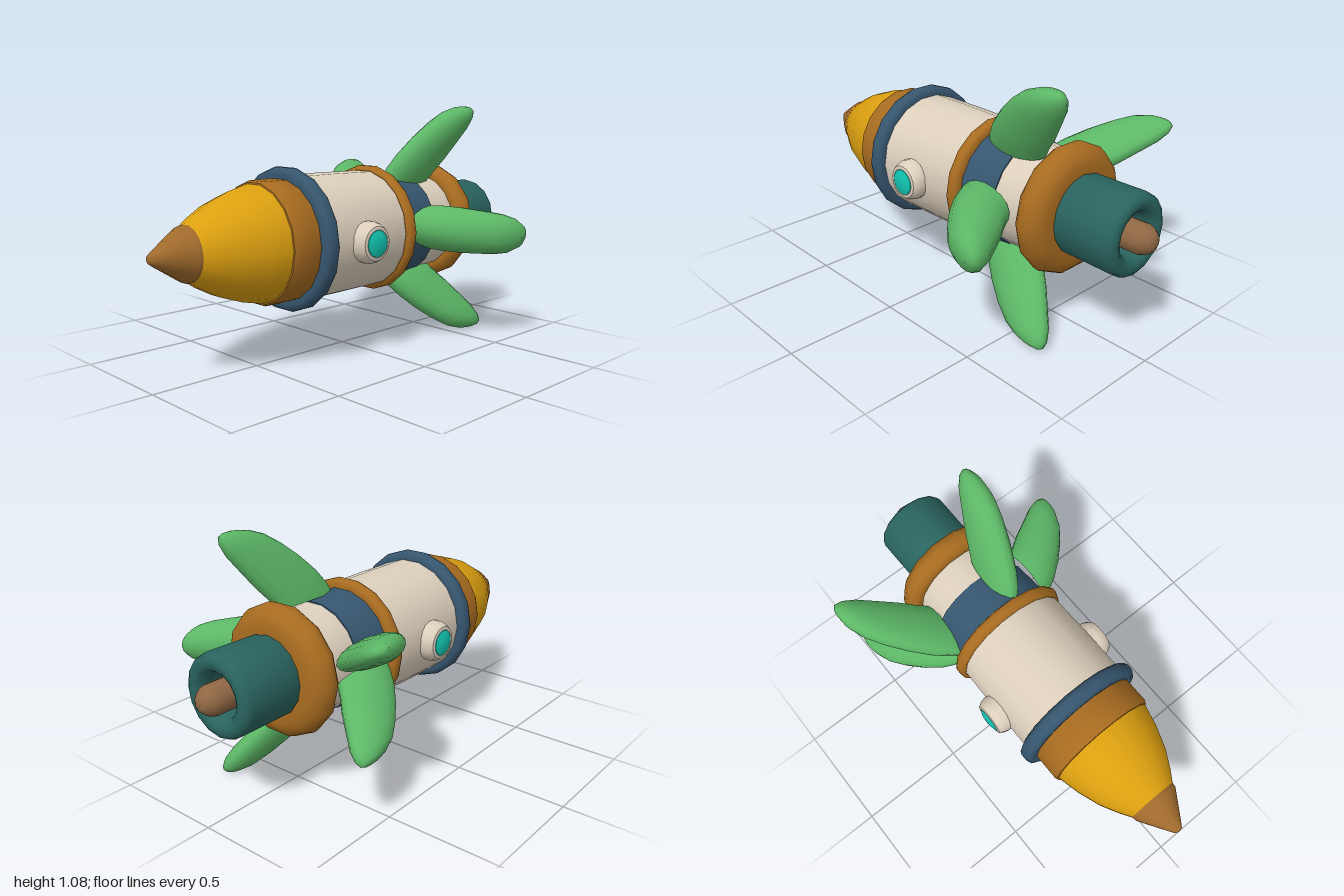
import * as THREE from 'three';
import { toCreasedNormals } from 'three/addons/utils/BufferGeometryUtils.js';

const AXIS_Y = 0.515;

function mat(name, color) {
  const m = new THREE.MeshStandardMaterial({ color });
  m.name = name;
  return m;
}

// Solid of revolution about the x axis from [x, radius] pairs
function turned(profile, segments = 18) {
  const pts = profile.map(([x, r]) => new THREE.Vector2(r, x));
  const g = new THREE.LatheGeometry(pts, segments);
  g.rotateZ(-Math.PI / 2);
  return toCreasedNormals(g, 0.75);
}

// Swept fin blade: fraction along span, leading x, trailing x, half thickness
const FIN_SECTIONS = [
  [0.00, 0.19, 0.50, 0.060],
  [0.14, 0.21, 0.53, 0.066],
  [0.32, 0.25, 0.58, 0.067],
  [0.54, 0.32, 0.63, 0.065],
  [0.74, 0.40, 0.675, 0.061],
  [0.88, 0.47, 0.692, 0.052],
  [0.96, 0.54, 0.688, 0.036],
  [0.99, 0.59, 0.670, 0.018],
  [1.00, 0.63, 0.632, 0.001],
];

// root and tip are [z, y]; sweep scales the blade along x
function finGeometry(root, tip, sweep, thick) {
  const around = 16;
  const dz = tip[0] - root[0], dy = tip[1] - root[1];
  const len = Math.hypot(dz, dy);
  const pos = [], index = [];
  for (const [t, lead, trail, half] of FIN_SECTIONS) {
    const c = (lead + trail) / 2, h = (trail - lead) / 2;
    for (let j = 0; j < around; j++) {
      const a = (j / around) * Math.PI * 2;
      const x = 0.2 + (c + h * Math.cos(a) - 0.2) * sweep;
      const off = half * thick * Math.sin(a);
      pos.push(x, root[1] + dy * t - (dz / len) * off, root[0] + dz * t + (dy / len) * off);
    }
  }
  for (let i = 0; i < FIN_SECTIONS.length - 1; i++) {
    for (let j = 0; j < around; j++) {
      const k = (j + 1) % around;
      const p = i * around + j, q = i * around + k;
      index.push(p, p + around, q, q, p + around, q + around);
    }
  }
  const g = new THREE.BufferGeometry();
  g.setAttribute('position', new THREE.Float32BufferAttribute(pos, 3));
  g.setIndex(index);
  g.computeVertexNormals();
  return g;
}

export function createModel() {
  const group = new THREE.Group();
  group.name = 'rocket';

  const gold = mat('gold', 0xdb9f10);
  const bronze = mat('bronze', 0xa86c20);
  const noseBrown = mat('noseBrown', 0xa06a2c);
  const blue = mat('slateBlue', 0x36566f);
  const cream = mat('cream', 0xdccfbc);
  const green = mat('green', 0x5cb766);
  const teal = mat('teal', 0x2a645f);
  const cyan = mat('cyan', 0x12c9b5);
  const tan = mat('tan', 0x8f6743);

  const add = (name, geometry, material, parent = group) => {
    const m = new THREE.Mesh(geometry, material);
    m.name = name;
    parent.add(m);
    return m;
  };

  // Hull sections from nose to tail
  const hull = new THREE.Group();
  hull.name = 'hull';
  hull.position.y = AXIS_Y;
  group.add(hull);
  const section = (name, material, profile, segments) =>
    add(name, turned(profile, segments), material, hull);

  section('noseTip', noseBrown, [[-1, 0], [-0.995, 0.018], [-0.975, 0.032], [-0.85, 0.112], [-0.83, 0.115], [-0.83, 0]]);
  section('noseCone', gold, [[-0.84, 0], [-0.84, 0.108], [-0.78, 0.147], [-0.7, 0.19], [-0.6, 0.226], [-0.5, 0.25], [-0.48, 0.25]]);
  section('noseBand', bronze, [[-0.505, 0.235], [-0.5, 0.256], [-0.485, 0.263], [-0.35, 0.263], [-0.33, 0.25]]);
  section('frontRing', blue, [[-0.365, 0.25], [-0.37, 0.285], [-0.36, 0.304], [-0.345, 0.311], [-0.32, 0.311], [-0.305, 0.304], [-0.295, 0.285], [-0.3, 0.25]]);
  section('mainBody', cream, [[-0.31, 0.25], [-0.31, 0.272], [-0.1, 0.272], [0.15, 0.267], [0.15, 0.24]]);
  section('middleRing', bronze, [[0.14, 0.24], [0.133, 0.27], [0.142, 0.285], [0.155, 0.291], [0.172, 0.291], [0.186, 0.284], [0.194, 0.265], [0.19, 0.23]]);
  section('tailBand', blue, [[0.18, 0.253], [0.37, 0.239], [0.37, 0.22]]);
  section('tailBody', cream, [[0.36, 0.234], [0.53, 0.225]]);
  section('rearRing', bronze, [[0.525, 0.2], [0.515, 0.24], [0.523, 0.262], [0.545, 0.28], [0.575, 0.284], [0.605, 0.272], [0.63, 0.245], [0.642, 0.21], [0.64, 0.16], [0.64, 0]], 14);
  section('engine', teal, [[0.63, 0.165], [0.65, 0.173], [0.89, 0.175], [0.91, 0.168], [0.922, 0.15], [0.922, 0.125], [0.91, 0.105], [0.88, 0.092], [0.8, 0.088], [0.8, 0]], 16);
  section('exhaustNozzle', tan, [[0.8, 0.064], [0.94, 0.064], [0.965, 0.056], [0.988, 0.037], [0.998, 0.018], [1, 0]], 14);

  // Portholes on both flanks
  for (const side of [1, -1]) {
    const porthole = new THREE.Group();
    porthole.name = side > 0 ? 'frontPorthole' : 'backPorthole';
    porthole.position.set(-0.105, 0.508, 0);
    porthole.rotation.y = side > 0 ? -Math.PI / 2 : Math.PI / 2;
    group.add(porthole);
    add('portholeRim', turned([[0.24, 0.09], [0.285, 0.091], [0.305, 0.085], [0.322, 0.074], [0.325, 0.06], [0.318, 0.052], [0.318, 0]]), cream, porthole);
    add('portholeGlass', turned([[0.315, 0.062], [0.326, 0.057], [0.333, 0.035], [0.336, 0]]), cyan, porthole);
  }

  // Five swept fins around the tail
  const fins = [
    ['topFin', [0.07, 0.735], [0.2, 1.068], 1, 1],
    ['frontFin', [0.23, 0.53], [0.578, 0.49], 0.87, 1.55],
    ['lowerFrontFin', [0.07, 0.3], [0.27, 0.002], 1, 1],
    ['lowerBackFin', [-0.23, 0.49], [-0.512, 0.29], 0.97, 0.95],
    ['upperBackFin', [-0.22, 0.56], [-0.575, 0.765], 0.95, 0.9],
  ];
  for (const [name, root, tip, sweep, thick] of fins) {
    add(name, finGeometry(root, tip, sweep, thick), green);
  }

  return group;
}
